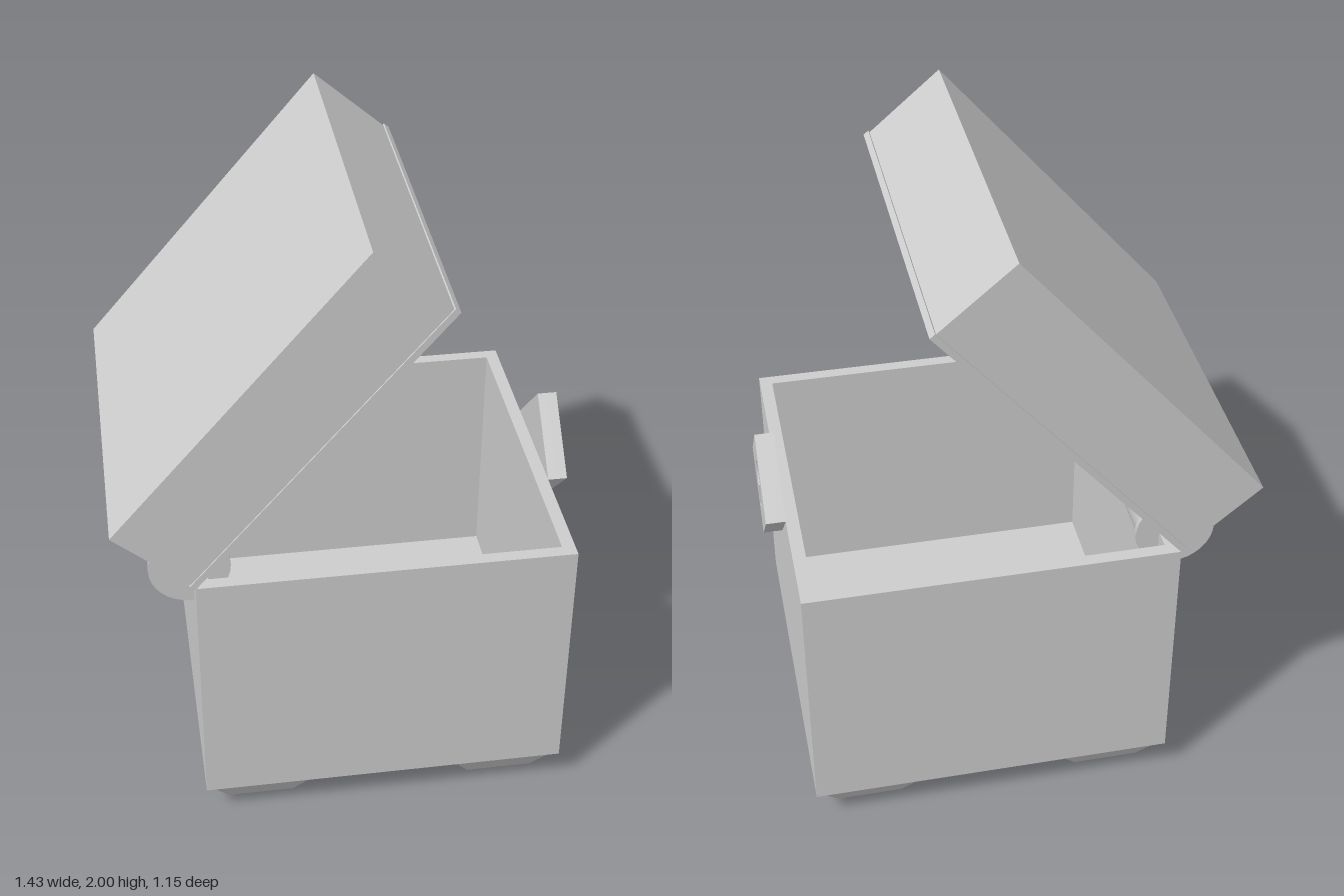
import * as THREE from 'three';
import { toCreasedNormals } from 'three/addons/utils/BufferGeometryUtils.js';

const grey = new THREE.MeshStandardMaterial({ color: 0xcccccc });
grey.name = 'plain grey';

function addMesh(parent, name, geometry, x = 0, y = 0, z = 0) {
  const mesh = new THREE.Mesh(geometry, grey);
  mesh.name = name;
  mesh.position.set(x, y, z);
  parent.add(mesh);
  return mesh;
}

function rectanglePoints(w, d) {
  return [[-w, -d], [w, -d], [w, d], [-w, d]].map(([x, y]) => new THREE.Vector2(x / 2, y / 2));
}

// Rectangular wall ring standing on y = 0
function ring(width, depth, height, wall) {
  const shape = new THREE.Shape(rectanglePoints(width, depth));
  shape.holes.push(new THREE.Path(rectanglePoints(width - 2 * wall, depth - 2 * wall).reverse()));
  return new THREE.ExtrudeGeometry(shape, { depth: height, bevelEnabled: false }).rotateX(-Math.PI / 2);
}

export function createModel() {
  const model = new THREE.Group();
  model.name = 'openChest';
  const L = 1.135, W = 1.14, wall = 0.04;

  // Chest body, open at the top
  const body = new THREE.Group();
  body.name = 'body';
  body.position.set(0.0875, 0.11, 0);
  addMesh(body, 'bodyFloor', new THREE.BoxGeometry(L, wall, W), 0, wall / 2, 0);
  addMesh(body, 'bodyWalls', ring(L, W, 0.82 - wall, wall), 0, wall, 0);
  model.add(body);

  // Tapered square feet
  const footShape = new THREE.CylinderGeometry(0.1675 * Math.SQRT2, 0.1025 * Math.SQRT2, 0.11, 4, 1)
    .rotateY(Math.PI / 4);
  const footGeometry = toCreasedNormals(footShape, 0.3);
  for (const x of [-0.3025, 0.4775])
    for (const z of [-0.39, 0.39]) addMesh(model, 'foot', footGeometry, x, 0.055, z);

  // Hollow lid, swung open about the back edge
  const lid = new THREE.Group();
  lid.name = 'lid';
  lid.position.set(-0.48, 0.935, 0);
  lid.rotation.z = THREE.MathUtils.degToRad(49.3);
  addMesh(lid, 'lidWalls', ring(L, W, 0.31 - wall, wall), L / 2, 0, 0);
  addMesh(lid, 'lidTop', new THREE.BoxGeometry(L, wall, W), L / 2, 0.31 - wall / 2, 0);
  addMesh(lid, 'lidRim', ring(L + 0.01, W + 0.01, 0.02, wall + 0.005), L / 2, -0.002, 0);
  model.add(lid);

  // Barrel hinges with flared ends
  const profile = [
    [0, -0.1675], [0.122, -0.1675], [0.122, -0.15], [0.11, -0.138],
    [0.11, 0.138], [0.122, 0.15], [0.122, 0.1675], [0, 0.1675],
  ].map(([r, y]) => new THREE.Vector2(r, y));
  const hingeGeometry = toCreasedNormals(
    new THREE.LatheGeometry(profile, 32).rotateX(Math.PI / 2), 0.5);
  for (const side of [-1, 1]) addMesh(model, 'hinge', hingeGeometry, -0.49, 0.93, side * 0.3025);

  // Diamond lock plate with a recessed keyhole
  const r = 0.195;
  const diamond = () => new THREE.Shape(
    [[0, -r], [r, 0], [0, r], [-r, 0]].map(([x, y]) => new THREE.Vector2(x, y)));
  const face = diamond();
  const keyhole = new THREE.Path();
  const slot = 0.02, a = Math.asin(slot / 0.052);
  keyhole.moveTo(-slot, -0.09);
  keyhole.lineTo(-slot, 0.03 - 0.052 * Math.cos(a));
  keyhole.absarc(0, 0.03, 0.052, -Math.PI / 2 - a, -Math.PI / 2 + a, true);
  keyhole.lineTo(slot, -0.09);
  keyhole.closePath();
  face.holes.push(keyhole);
  const plate = (shape) => new THREE.ExtrudeGeometry(shape,
    { depth: 0.03, bevelEnabled: false, curveSegments: 20 }).rotateY(Math.PI / 2);
  const lock = new THREE.Group();
  lock.name = 'lock';
  lock.position.set(0.655, 0.93, 0);
  addMesh(lock, 'lockBack', plate(diamond()));
  addMesh(lock, 'lockFace', plate(face), 0.03, 0, 0);
  model.add(lock);

  return model;
}
